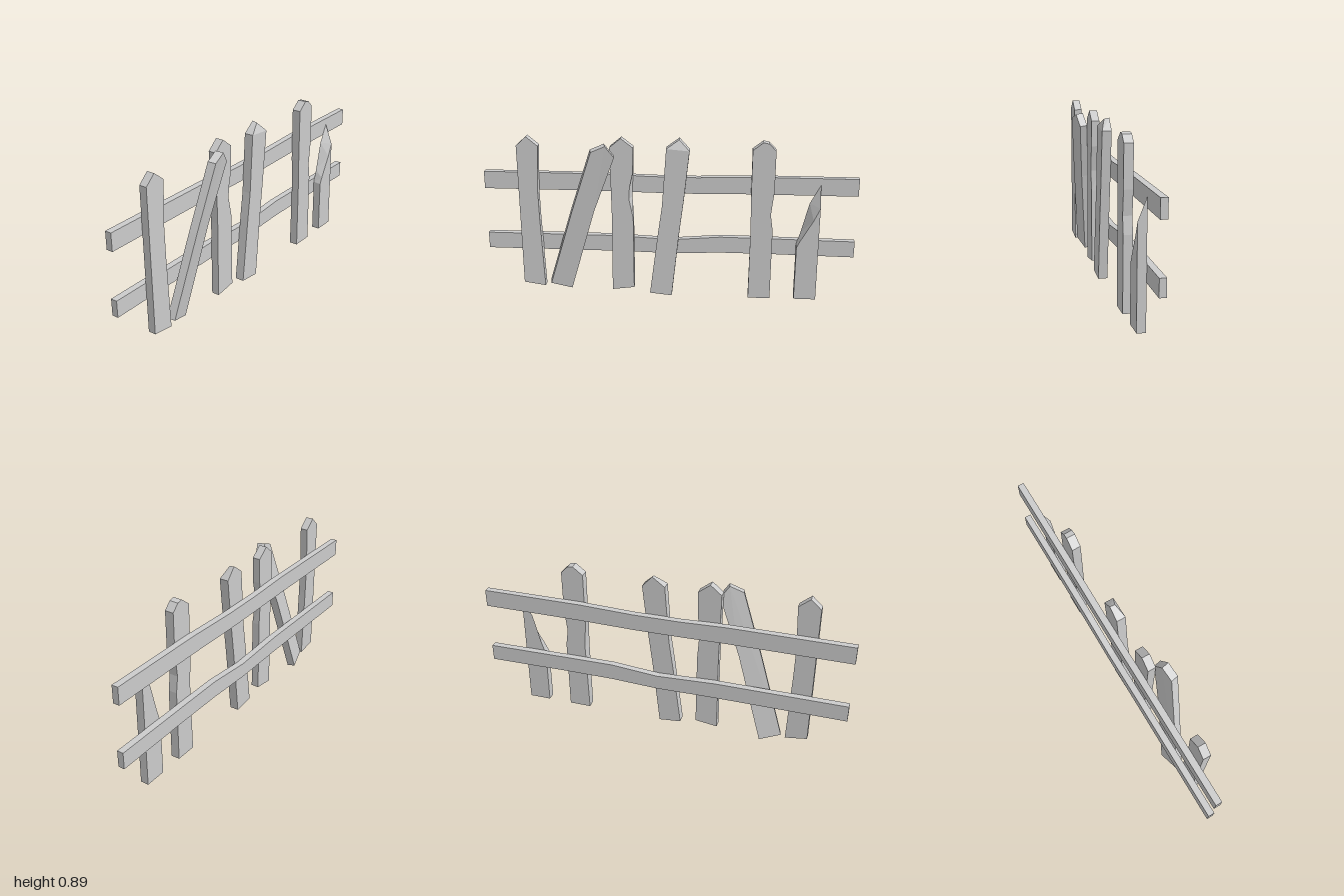
import * as THREE from 'three';

const material = new THREE.MeshStandardMaterial({ color: 0xcccccc, flatShading: true });

// Solid board between a front and a back outline of [x, y, z] points (anticlockwise from the front)
function board(name, front, back) {
  const out = [];
  const flat = (loop) => loop.map((p) => new THREE.Vector2(p[0], p[1]));
  for (const [a, b, c] of THREE.ShapeUtils.triangulateShape(flat(front), [])) out.push(front[a], front[b], front[c]);
  for (const [a, b, c] of THREE.ShapeUtils.triangulateShape(flat(back), [])) out.push(back[c], back[b], back[a]);
  front.forEach((p, i) => {
    const j = (i + 1) % front.length;
    out.push(p, back[i], back[j], p, back[j], front[j]);
  });
  const geometry = new THREE.BufferGeometry();
  geometry.setAttribute('position', new THREE.Float32BufferAttribute(out.flat(), 3));
  geometry.computeVertexNormals();
  const mesh = new THREE.Mesh(geometry, material);
  mesh.name = name;
  return mesh;
}

// Upright picket; an outline point is [x, y, frontInsetX, frontInsetY, frontInsetZ]
function picket(name, outline, zFront = 0.005, zBack = -0.04) {
  const front = outline.map(([x, y, dx = 0, dy = 0, dz = 0]) => [x + dx, y + dy, zFront + dz]);
  const back = outline.map(([x, y]) => [x, y, zBack]);
  return board(name, front, back);
}

// Long rail from the [x, bottom, top] of each cross-section
function rail(name, sections) {
  const loop = (z) => [
    ...sections.map(([x, lo]) => [x, lo, z]),
    ...sections.map(([x, , hi]) => [x, hi, z]).reverse(),
  ];
  return board(name, loop(-0.04), loop(-0.075));
}

export function createModel() {
  const group = new THREE.Group();
  group.name = 'brokenFence';

  // Two slightly warped rails behind the pickets
  group.add(
    rail('upperRail', [[-1, 0.587, 0.682], [-0.35, 0.587, 0.682], [-0.1, 0.583, 0.673], [0.15, 0.582, 0.672], [0.45, 0.587, 0.682], [1, 0.587, 0.682]]),
    rail('lowerRail', [[-1, 0.24, 0.33], [-0.3, 0.24, 0.33], [0.02, 0.235, 0.315], [0.28, 0.246, 0.337], [0.55, 0.246, 0.335], [1, 0.24, 0.33]]),
  );

  // Upright pickets, chipped along their edges
  group.add(
    picket('endPicket', [
      [-0.805, 0.055], [-0.687, 0.037], [-0.7, 0.44], [-0.702, 0.6], [-0.69, 0.84], [-0.75, 0.89], [-0.805, 0.84],
    ], 0.002),
    picket('chippedPicket', [
      [-0.31, 0.027], [-0.19, 0.043], [-0.19, 0.45], [-0.197, 0.56, -0.015], [-0.196, 0.62, -0.012],
      [-0.19, 0.7], [-0.186, 0.84], [-0.25, 0.89], [-0.31, 0.84], [-0.305, 0.45],
    ], 0.003),
    picket('tiltedPicket', [
      [-0.102, 0.015], [0.018, 0.003], [0.056, 0.36], [0.08, 0.55], [0.11, 0.83], [0.055, 0.89, 0, -0.005, -0.022],
      [-0.012, 0.84], [-0.035, 0.52], [-0.055, 0.38],
    ], 0.01),
    picket('bluntPicket', [
      [0.437, 0.003], [0.556, 0.003], [0.556, 0.4], [0.543, 0.49], [0.557, 0.62], [0.557, 0.84], [0.52, 0.877],
      [0.49, 0.883], [0.436, 0.84], [0.436, 0.55], [0.446, 0.4, -0.007],
    ], 0.008),
    // Snapped picket whose break slopes down towards the front
    picket('snappedPicket', [
      [0.687, 0.003], [0.805, 0.003], [0.802, 0.645, 0, -0.115], [0.748, 0.545, 0.022, -0.085],
      [0.708, 0.38, -0.005, -0.04], [0.687, 0.31, 0, -0.005],
    ]),
  );

  // Loose picket leaning sideways and forwards, with a slight twist
  const leaning = [
    [-0.655, 0.05, 0], [-0.543, 0.013, 1], [-0.398, 0.49, 1], [-0.28, 0.798, 1],
    [-0.325, 0.862, 0.6], [-0.398, 0.832, 0], [-0.515, 0.49, 0],
  ];
  const leanZ = (y, across) => -0.008 + 0.098 * y - 0.022 * across;
  group.add(board(
    'leaningPicket',
    leaning.map(([x, y, t]) => [x, y, leanZ(y, t)]),
    leaning.map(([x, y, t]) => [x - 0.01, y + 0.004, leanZ(y, t) - 0.041]),
  ));
  return group;
}
